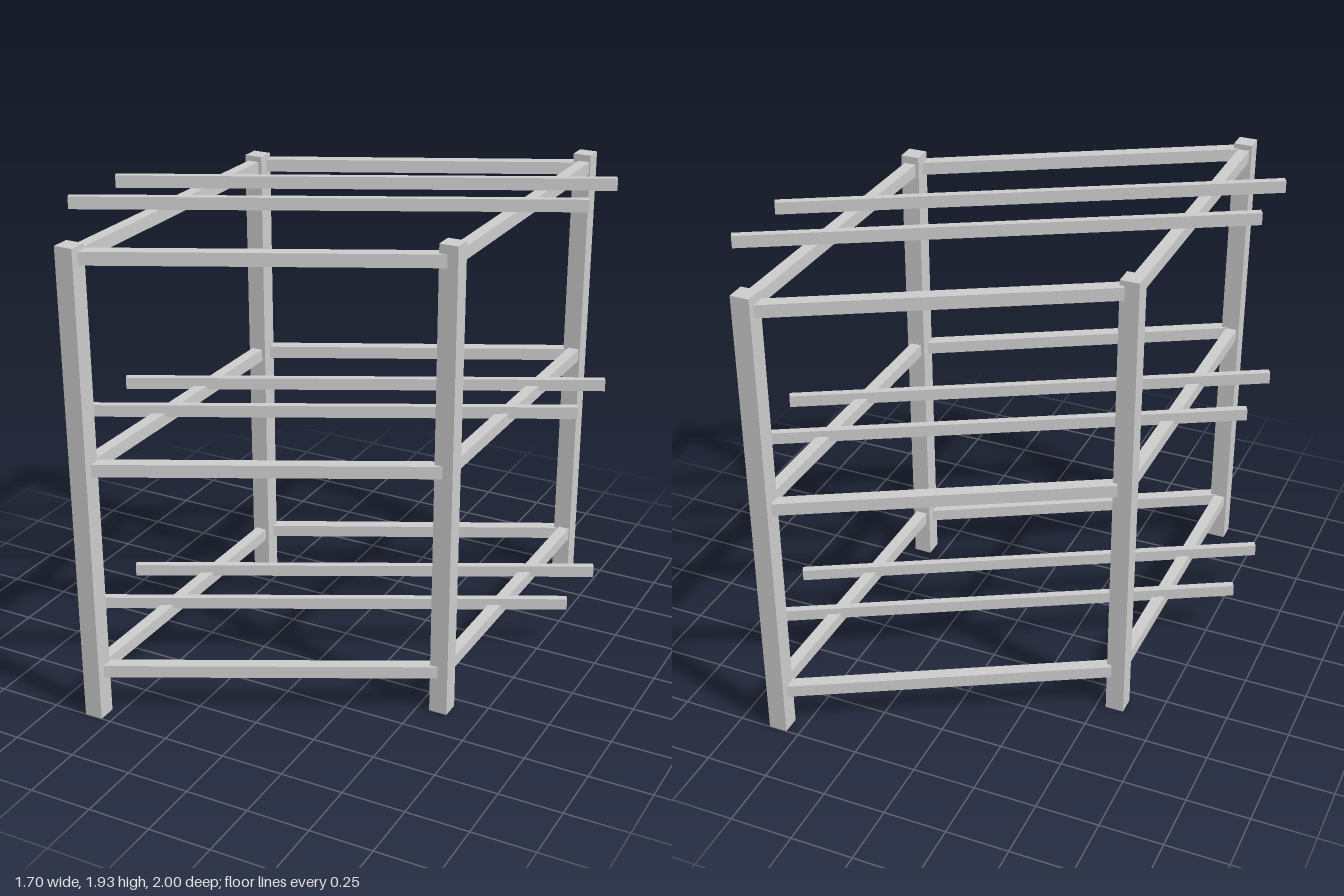
import * as THREE from 'three';

const material = new THREE.MeshStandardMaterial({ color: 0xcccccc, flatShading: true });

// Rectangular beam running between two points, with its sides kept upright
function beam(name, from, to, width, height) {
  const a = new THREE.Vector3(...from);
  const b = new THREE.Vector3(...to);
  const mesh = new THREE.Mesh(new THREE.BoxGeometry(width, height, a.distanceTo(b)), material);
  mesh.name = name;
  mesh.position.copy(a).add(b).multiplyScalar(0.5);
  mesh.lookAt(b);
  return mesh;
}

export function createModel() {
  const model = new THREE.Group();
  model.name = 'rackFrame';

  // Four square posts on a skewed plan
  const postHeight = 1.89;
  const posts = [[-0.575, 0.963], [0.588, 0.333], [0.588, -0.963], [-0.575, -0.338]];
  for (const [x, z] of posts) {
    const post = new THREE.Mesh(new THREE.BoxGeometry(0.073, postHeight, 0.073), material);
    post.name = 'post';
    post.position.set(x, postHeight / 2, z);
    model.add(post);
  }

  // Three levels, each with four rails and two overhanging cross bars
  for (const [name, y] of [['lowerLevel', 0.185], ['middleLevel', 1.03], ['upperLevel', 1.838]]) {
    const level = new THREE.Group();
    level.name = name;
    level.position.y = y;
    level.add(
      beam('frontRail', [-0.55, 0.007, 0.945], [0.575, -0.008, 0.347], 0.048, 0.05),
      beam('backRail', [-0.55, 0.007, -0.365], [0.57, -0.008, -0.955], 0.048, 0.05),
      beam('leftRail', [-0.579, 0.005, 0.93], [-0.575, 0.005, -0.305], 0.046, 0.05),
      beam('rightRail', [0.588, -0.003, 0.3], [0.597, 0, -0.93], 0.046, 0.05),
    );
    // The top pair of bars sits slightly higher on its rails
    const lift = name === 'upperLevel' ? 0.054 : 0.032;
    for (const z of [-0.172, 0.137]) {
      level.add(beam('crossBar', [-0.845, lift + 0.01, z + 0.447], [0.845, lift - 0.008, z - 0.447], 0.029, 0.048));
    }
    model.add(level);
  }
  return model;
}
